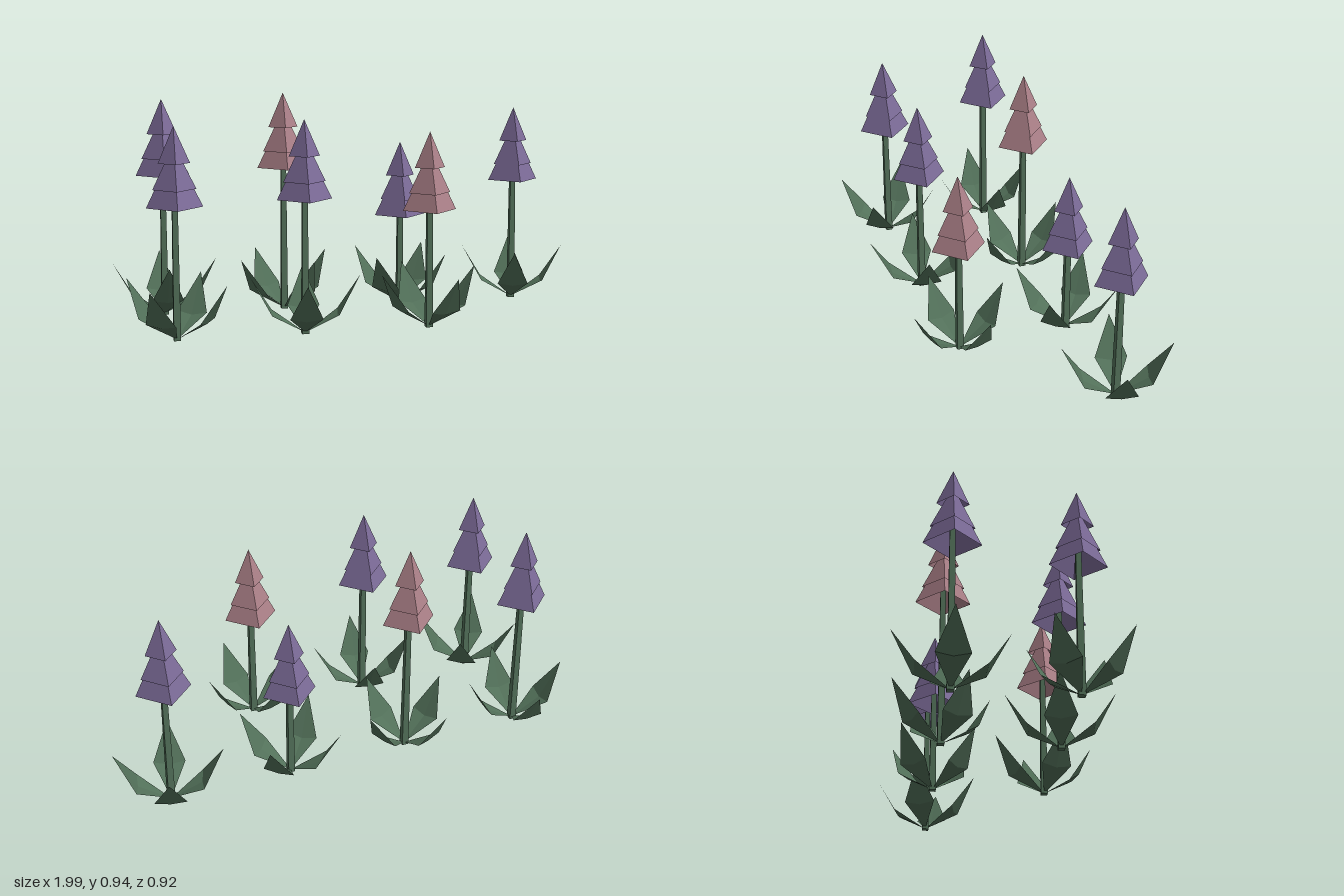
import * as THREE from 'three';

const mat = (name, color) => {
  const m = new THREE.MeshStandardMaterial({ color, side: THREE.DoubleSide, flatShading: true });
  m.name = name;
  return m;
};

// Folded, bent leaf pointing along +x: base, two wide corners, a sunken midrib and a tip
function leafGeometry() {
  const base = [0, 0.004, 0], mid = [0.13, 0.076, 0], tip = [0.222, 0.237, 0];
  const left = [0.135, 0.088, -0.066], right = [0.135, 0.088, 0.066];
  const faces = [[base, left, mid], [base, mid, right], [left, tip, mid], [mid, tip, right]];
  const g = new THREE.BufferGeometry();
  g.setAttribute('position', new THREE.Float32BufferAttribute(faces.flat(2), 3));
  g.computeVertexNormals();
  return g;
}

// Open four-sided skirt with its apex at the given drop below the flower tip
function tierGeometry(apexDrop, baseDrop, radius) {
  const h = baseDrop - apexDrop;
  return new THREE.ConeGeometry(radius, h, 4, 1, true).translate(0, -apexDrop - h / 2, 0);
}

export function createModel() {
  const root = new THREE.Group();
  root.name = 'flowerBed';
  const green = mat('leafGreen', 0x527059);
  const purple = mat('petalPurple', 0x7c6b98);
  const pink = mat('petalPink', 0xab8088);

  const leafGeo = leafGeometry();
  const tiers = [
    tierGeometry(0, 0.146, 0.063),
    tierGeometry(0.07, 0.249, 0.086),
    tierGeometry(0.09, 0.32, 0.112),
  ];

  const add = (parent, geo, material, name) => {
    const mesh = new THREE.Mesh(geo, material);
    mesh.name = name;
    parent.add(mesh);
    return mesh;
  };

  // x, z, flower tip height, leaf turn in degrees, petal colour
  const plants = [
    [-0.775, -0.236, 0.92, 0, purple],
    [-0.258, -0.236, 0.938, -25, pink],
    [0.26, -0.236, 0.715, 41, purple],
    [0.778, -0.236, 0.855, 15, purple],
    [-0.775, 0.238, 0.853, 33, purple],
    [-0.258, 0.238, 0.868, 8, purple],
    [0.26, 0.238, 0.807, -16, pink],
  ];

  for (const [x, z, top, turn, petal] of plants) {
    const plant = new THREE.Group();
    plant.name = 'plant';
    plant.position.set(x, 0, z);
    root.add(plant);

    // Slightly tapered square stem reaching up into the flower
    const h = top - 0.2;
    const stem = new THREE.CylinderGeometry(0.0145, 0.02, h, 4).rotateY(Math.PI / 4).translate(0, h / 2, 0);
    add(plant, stem, green, 'stem');

    // Stacked skirts of the flower head
    const flower = new THREE.Group();
    flower.name = 'flower';
    flower.position.y = top;
    plant.add(flower);
    for (const geo of tiers) add(flower, geo, petal, 'flowerTier');

    // Four leaves around the foot
    for (let i = 0; i < 4; i++) {
      const leaf = add(plant, leafGeo, green, 'leaf');
      leaf.rotation.y = -THREE.MathUtils.degToRad(turn + i * 90);
    }
  }
  return root;
}
